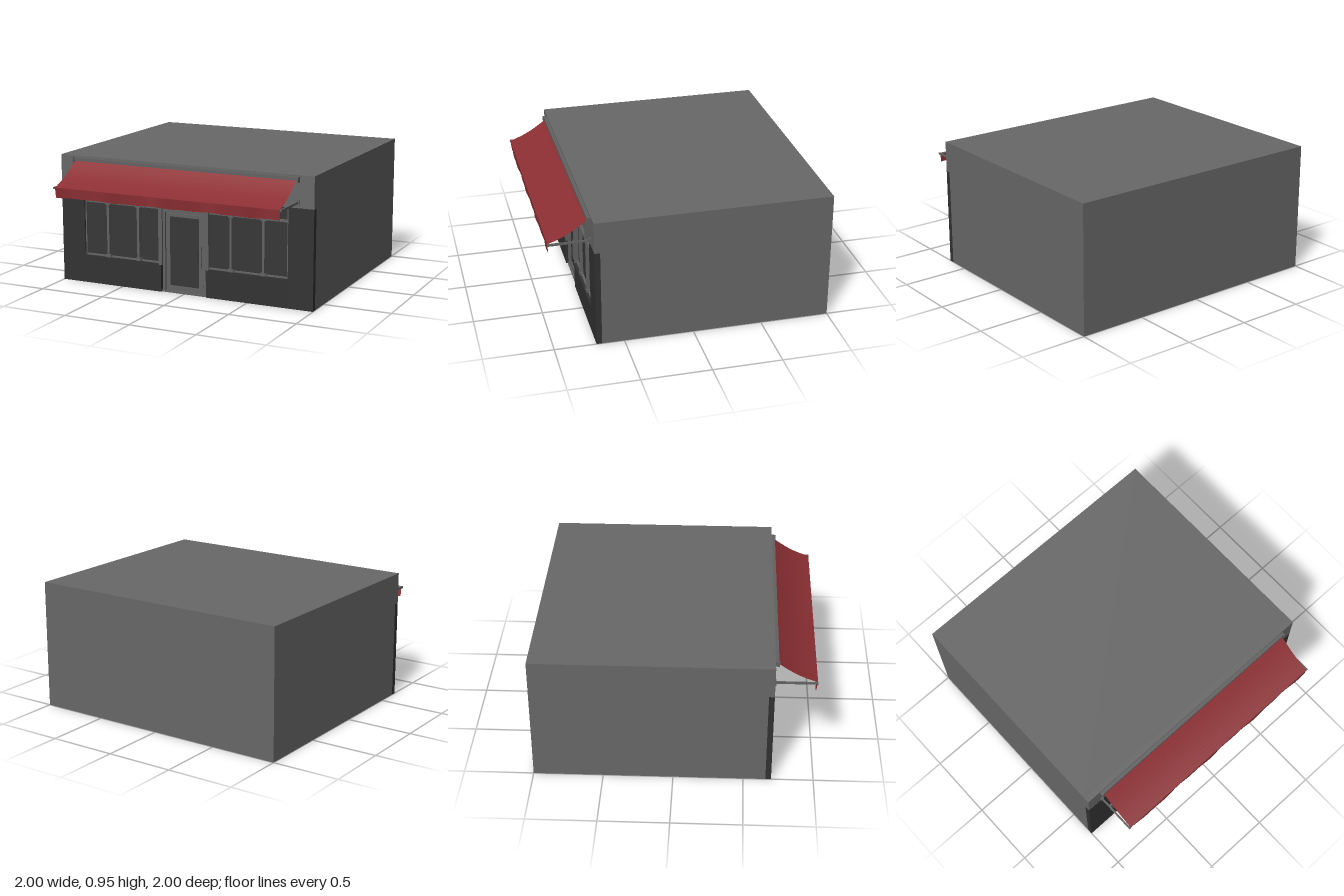
import * as THREE from 'three';

const mat = (name, color) => {
  const m = new THREE.MeshStandardMaterial({ color });
  m.name = name;
  return m;
};

export function createModel() {
  const model = new THREE.Group();
  model.name = 'shop';
  const wall = mat('wall grey', 0x686868);
  const dark = mat('shopfront charcoal', 0x323232);
  const glass = mat('dark glass', 0x363636);
  const frame = mat('frame grey', 0x626262);
  const red = mat('awning red', 0x8c2f33);
  red.side = THREE.DoubleSide;

  // Box given by its limits on each axis
  const box = (name, m, x0, x1, y0, y1, z0, z1, parent = model) => {
    const mesh = new THREE.Mesh(new THREE.BoxGeometry(x1 - x0, y1 - y0, z1 - z0), m);
    mesh.position.set((x0 + x1) / 2, (y0 + y1) / 2, (z0 + z1) / 2);
    mesh.name = name;
    parent.add(mesh);
    return mesh;
  };
  // Same box on both sides of the shop
  const pair = (name, m, x0, x1, ...rest) => {
    box(name + 'Left', m, x0, x1, ...rest);
    box(name + 'Right', m, -x1, -x0, ...rest);
  };

  // Building block and the band above the shopfront
  box('building', wall, -1, 1, 0, 0.95, -1, 0.66);
  box('fascia', wall, -1, 1, 0.72, 0.95, 0.66, 0.7);

  // Piers and stall risers
  pair('pier', dark, 0.81, 1, 0, 0.72, 0.66, 0.7);
  pair('stallRiser', dark, 0.18, 0.81, 0, 0.2, 0.66, 0.7);
  pair('riserCap', dark, 0.2, 0.81, 0.2, 0.208, 0.66, 0.703);

  // Shop windows with mullions, transoms and slim edge frames
  pair('windowGlass', glass, 0.2, 0.81, 0.2, 0.72, 0.66, 0.668);
  for (const x of [0.37, 0.62]) {
    pair('mullion', frame, x - 0.009, x + 0.009, 0.208, 0.72, 0.668, 0.692);
    pair('mullionFoot', frame, x - 0.02, x + 0.02, 0.208, 0.228, 0.668, 0.695);
    pair('mullionHead', frame, x - 0.02, x + 0.02, 0.603, 0.632, 0.668, 0.695);
  }
  pair('transom', frame, 0.2, 0.805, 0.61, 0.625, 0.668, 0.69);
  pair('windowSill', frame, 0.2, 0.805, 0.208, 0.218, 0.668, 0.685);
  pair('windowEdge', frame, 0.8, 0.81, 0.208, 0.72, 0.668, 0.69);

  // Door surround
  pair('doorPost', frame, 0.17, 0.2, 0.2, 0.72, 0.66, 0.7);
  pair('doorJamb', frame, 0.152, 0.172, 0, 0.72, 0.66, 0.685);
  box('doorHead', frame, -0.152, 0.152, 0.592, 0.612, 0.66, 0.685);
  box('fanlight', glass, -0.152, 0.152, 0.612, 0.72, 0.66, 0.668);
  box('threshold', frame, -0.18, 0.18, 0, 0.012, 0.66, 0.69);

  // Door leaf
  const door = new THREE.Group();
  door.name = 'door';
  model.add(door);
  for (const s of [-1, 1]) {
    const x = s * 0.132;
    box('doorStile', frame, x - 0.016, x + 0.016, 0.012, 0.585, 0.66, 0.677, door);
  }
  box('doorBottomRail', frame, -0.116, 0.116, 0.012, 0.05, 0.66, 0.677, door);
  box('doorTopRail', frame, -0.116, 0.116, 0.562, 0.585, 0.66, 0.677, door);
  box('doorGlass', glass, -0.116, 0.116, 0.05, 0.562, 0.66, 0.668, door);
  box('handleBar', frame, 0.128, 0.142, 0.21, 0.37, 0.69, 0.7, door);
  for (const y of [0.23, 0.34]) box('handleMount', frame, 0.13, 0.14, y, y + 0.012, 0.677, 0.69, door);
  box('lockPlate', dark, 0.104, 0.124, 0.24, 0.33, 0.677, 0.683, door);

  // Awning: roller box, folding arms and front bar
  box('awningRoller', frame, -0.88, 0.88, 0.915, 0.938, 0.7, 0.725);
  pair('rollerEnd', frame, 0.878, 0.892, 0.9, 0.94, 0.7, 0.73);
  pair('awningArm', frame, 0.874, 0.886, 0.753, 0.768, 0.7, 1);
  pair('armBracket', frame, 0.868, 0.892, 0.74, 0.78, 0.7, 0.712);
  const bar = new THREE.Mesh(new THREE.CylinderGeometry(0.007, 0.007, 1.76, 10), frame);
  bar.rotation.z = Math.PI / 2;
  bar.position.set(0, 0.76, 0.989);
  bar.name = 'awningFrontBar';
  model.add(bar);

  // Sagging cloth from the roller to the front bar
  const cloth = new THREE.PlaneGeometry(1.745, 1, 1, 12);
  const cp = cloth.attributes.position;
  for (let i = 0; i < cp.count; i++) {
    const t = 0.5 - cp.getY(i);
    cp.setY(i, 0.92 - 0.155 * t - 0.018 * Math.sin(Math.PI * t));
    cp.setZ(i, 0.712 + 0.286 * t);
  }
  cloth.computeVertexNormals();
  const awning = new THREE.Mesh(cloth, red);
  awning.name = 'awningCloth';
  model.add(awning);

  // Hanging valance with a gently rippled hem
  const flap = new THREE.PlaneGeometry(1.745, 1, 60, 4);
  const fp = flap.attributes.position;
  for (let i = 0; i < fp.count; i++) {
    const x = fp.getX(i), t = 0.5 - fp.getY(i);
    const ripple = Math.sin(x * 13) * 0.6 + Math.sin(x * 29 + 1) * 0.4;
    fp.setY(i, 0.765 - t * (0.072 + 0.005 * ripple));
    fp.setZ(i, 0.998 - t * (0.006 + 0.006 * ripple));
  }
  flap.computeVertexNormals();
  const valance = new THREE.Mesh(flap, red);
  valance.name = 'awningValance';
  model.add(valance);

  return model;
}
